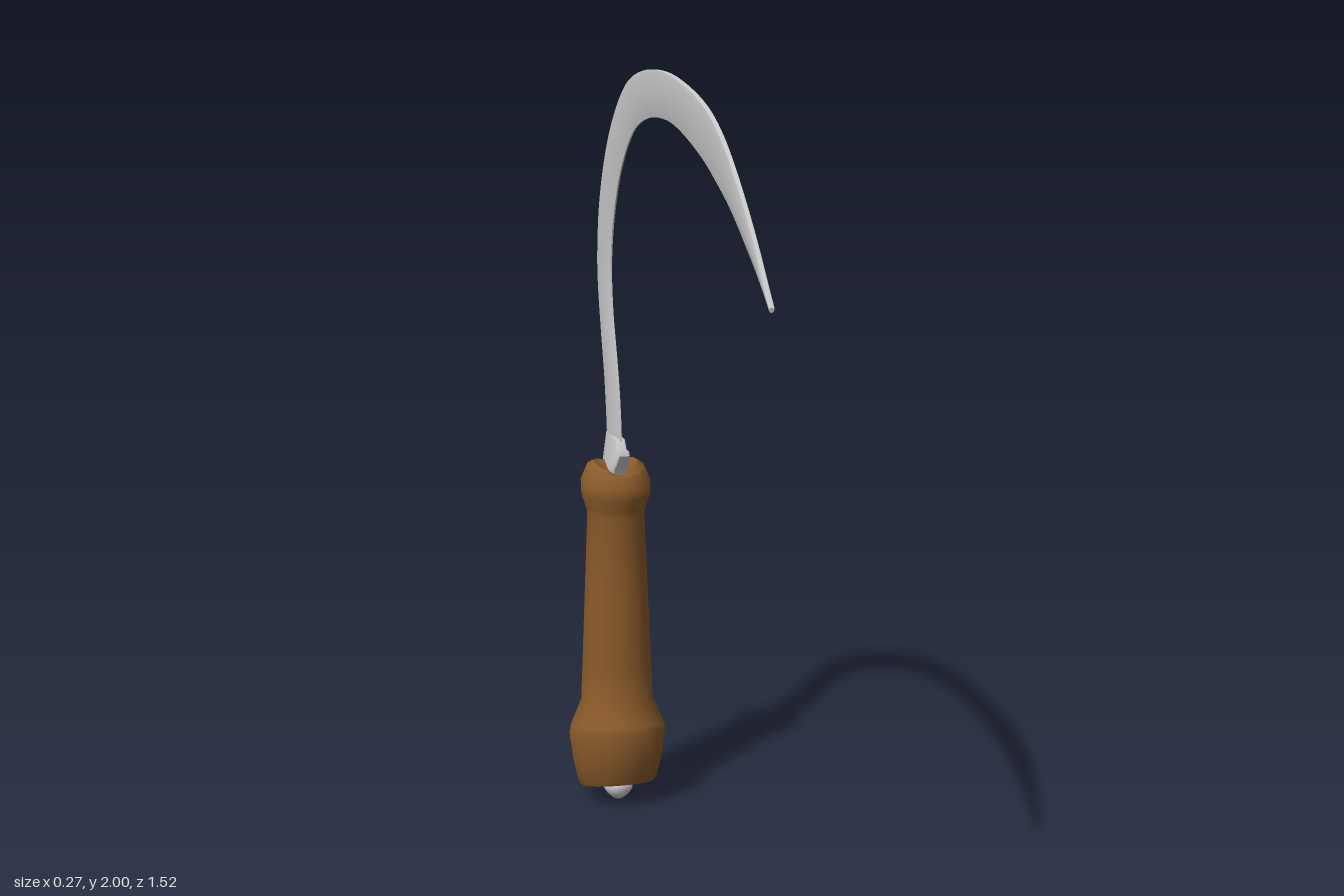
import * as THREE from 'three';
import { mergeVertices, toCreasedNormals } from 'three/addons/utils/BufferGeometryUtils.js';

const HANDLE_Z = -0.602;
const steel = new THREE.MeshStandardMaterial({ color: 0xcccccc });
const wood = new THREE.MeshStandardMaterial({ color: 0x8a5a2a });

function part(name, geometry, material) {
  const mesh = new THREE.Mesh(geometry, material);
  mesh.name = name;
  return mesh;
}

// Smooth curve in the blade plane from [z, y] pairs
const edge = (pts) => new THREE.CatmullRomCurve3(pts.map(([z, y]) => new THREE.Vector3(0, y, z)));

// Curved blade: a thick spine tapering to a thin inner cutting edge
function bladeGeometry() {
  const spine = edge([[-0.655, 0.95], [-0.662, 1.03], [-0.687, 1.16], [-0.724, 1.28], [-0.756, 1.4],
    [-0.762, 1.477], [-0.74, 1.605], [-0.68, 1.73], [-0.586, 1.844], [-0.443, 1.944], [-0.284, 1.988],
    [-0.109, 2], [0.06, 1.988], [0.268, 1.948], [0.395, 1.895], [0.512, 1.817], [0.645, 1.706], [0.762, 1.588]]);
  const cutting = edge([[-0.545, 0.95], [-0.538, 1.02], [-0.553, 1.13], [-0.581, 1.228], [-0.618, 1.334],
    [-0.634, 1.451], [-0.618, 1.546], [-0.581, 1.631], [-0.517, 1.727], [-0.39, 1.832], [-0.255, 1.877],
    [-0.098, 1.891], [0.034, 1.881], [0.247, 1.833], [0.36, 1.793], [0.46, 1.752], [0.61, 1.67], [0.76, 1.578]]);
  // [position from spine to edge, share of half thickness]
  const half = [[0, 0.75], [0.1, 1], [0.55, 0.95], [0.85, 0.6], [1, 0.2]];
  const section = [...half, ...half.map(([t, h]) => [t, -h]).reverse()];
  const n = section.length, steps = 85;
  const pos = [], index = [];
  for (let i = 0; i <= steps; i++) {
    const u = i / steps;
    const a = spine.getPoint(u), b = cutting.getPoint(u);
    const thickness = THREE.MathUtils.lerp(0.012, 0.006, u);
    for (const [t, h] of section) {
      const p = a.clone().lerp(b, t);
      pos.push(h * thickness, p.y, p.z);
    }
  }
  for (let i = 0; i < steps; i++) {
    for (let j = 0; j < n; j++) {
      const k = (j + 1) % n;
      const a = i * n + j, b = i * n + k;
      index.push(a, a + n, b, b, a + n, b + n);
    }
  }
  const end = steps * n;
  for (let j = 1; j < n - 1; j++) index.push(0, j, j + 1, end, end + j + 1, end + j);
  const g = new THREE.BufferGeometry();
  g.setAttribute('position', new THREE.Float32BufferAttribute(pos, 3));
  g.setIndex(index);
  return toCreasedNormals(g, 0.7);
}

// Turned handle whose bottom and top are cut at a slant
function handleGeometry() {
  // [radius, height, slant, dip on the centre line]
  const rings = [[0.001, 0.048, 0.28, 0], [0.1, 0.046, 0.28, 0], [0.109, 0.062, 0.28, 0], [0.122, 0.12, 0.25, 0],
    [0.133, 0.2, 0.23, 0], [0.127, 0.222, 0.18, 0], [0.099, 0.285, 0, 0], [0.094, 0.4, 0, 0],
    [0.085, 0.62, 0, 0], [0.077, 0.815, 0, 0], [0.08, 0.83, 0, 0], [0.093, 0.868, -0.05, 0],
    [0.094, 0.9, -0.1, 0.005], [0.076, 0.942, -0.14, 0.012], [0.058, 0.953, -0.12, 0.02], [0.022, 0.93, -0.1, 0.005], [0.001, 0.925, 0, 0]];
  const sides = 16;
  const g = new THREE.LatheGeometry(rings.map(([r, y]) => new THREE.Vector2(r, y)), sides);
  const p = g.attributes.position;
  for (let i = 0; i < p.count; i++) {
    const [r, y, slant, dip] = rings[i % rings.length];
    const z = p.getZ(i) * 0.96;
    const centre = 1 - Math.abs(p.getX(i)) / r;
    p.setXYZ(i, p.getX(i), y + slant * z - dip * centre, z + HANDLE_Z);
  }
  g.deleteAttribute('uv');
  g.deleteAttribute('normal');
  return toCreasedNormals(mergeVertices(g, 1e-5), 0.75);
}

// Collar with a small forward tab where the blade enters the handle
function collarGeometry() {
  const outline = [[-0.64, 0.905], [-0.56, 0.905], [-0.545, 0.945], [-0.522, 0.965], [-0.502, 0.99],
    [-0.504, 0.998], [-0.53, 0.995], [-0.545, 1.02], [-0.652, 1.02], [-0.664, 0.97], [-0.668, 0.94]];
  const shape = new THREE.Shape(outline.map(([z, y]) => new THREE.Vector2(z, y)));
  const g = new THREE.ExtrudeGeometry(shape, {
    depth: 0.018, bevelThickness: 0.006, bevelSize: 0.005, bevelSegments: 2,
  });
  g.translate(0, 0, -0.009).rotateY(-Math.PI / 2);
  // Flare the lower end
  const p = g.attributes.position;
  for (let i = 0; i < p.count; i++) {
    const flare = THREE.MathUtils.clamp((1.01 - p.getY(i)) / 0.08, 0, 1);
    p.setX(i, p.getX(i) * (0.85 + 0.5 * flare));
  }
  return toCreasedNormals(g, 0.6);
}

export function createModel() {
  const model = new THREE.Group();
  model.name = 'sickle';
  model.add(part('blade', bladeGeometry(), steel));
  model.add(part('bladeCollar', collarGeometry(), steel));
  model.add(part('handle', handleGeometry(), wood));

  // Rounded end of the tang under the handle
  const knob = [[0, 0], [0.014, 0.006], [0.03, 0.02], [0.04, 0.036], [0.04, 0.05], [0.03, 0.075]];
  const tang = part('tangEnd', new THREE.LatheGeometry(knob.map(([r, y]) => new THREE.Vector2(r, y)), 16), steel);
  tang.position.z = -0.594;
  model.add(tang);
  return model;
}
